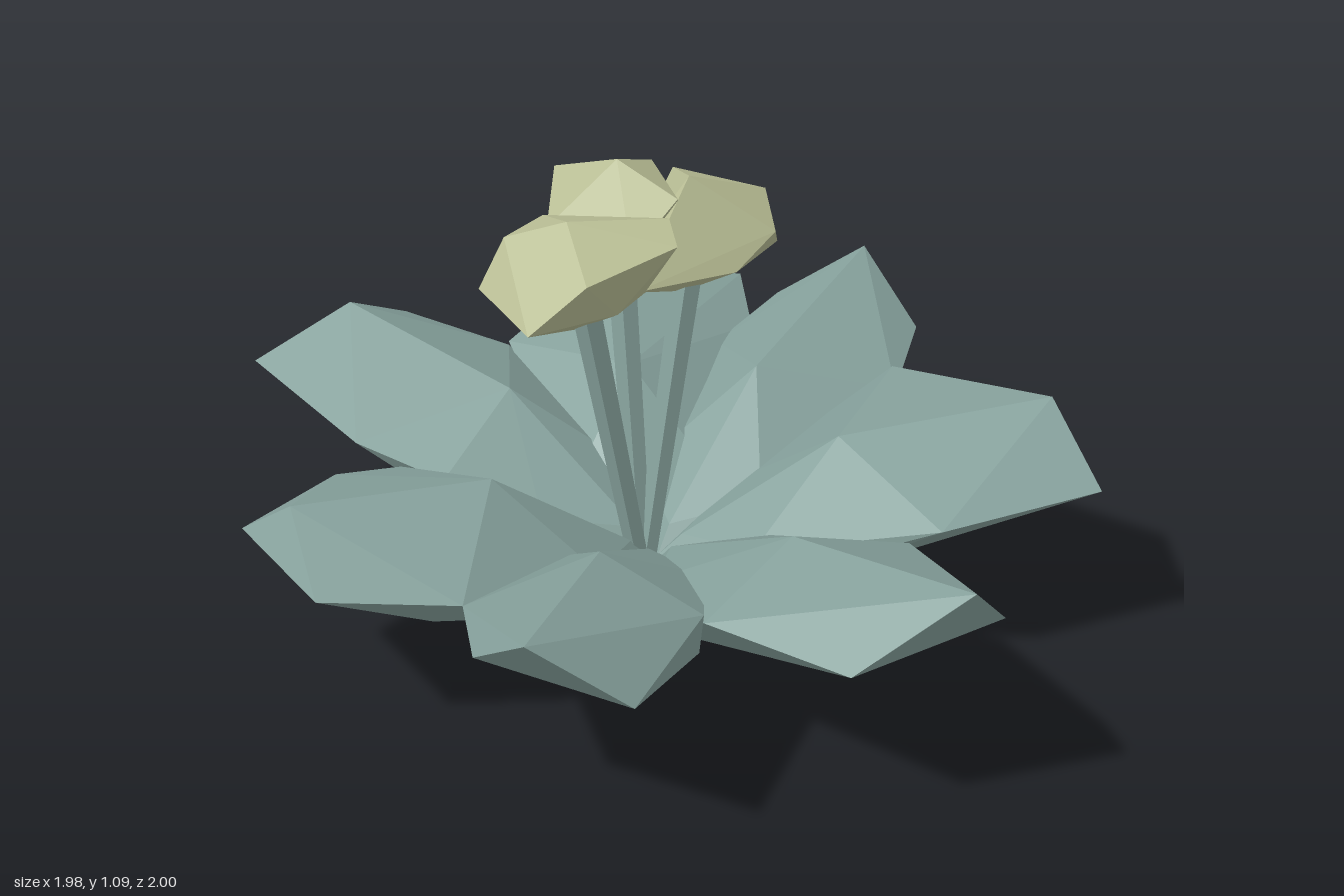
import * as THREE from 'three';
import { ConvexGeometry } from 'three/addons/geometries/ConvexGeometry.js';

const V = (p) => new THREE.Vector3(...p);

export function createModel() {
  const model = new THREE.Group();
  const leafGreen = new THREE.MeshStandardMaterial({ color: 0x86a19c, flatShading: true });
  leafGreen.name = 'leafGreen';
  const bloomYellow = new THREE.MeshStandardMaterial({ color: 0xb9be95, flatShading: true });
  bloomYellow.name = 'bloomYellow';

  const add = (name, geometry, material) => {
    const mesh = new THREE.Mesh(geometry, material);
    mesh.name = name;
    model.add(mesh);
    return mesh;
  };

  // Thick faceted leaves: rim corners, the high ridge end and the keel underneath
  const leaves = {
    frontLeaf: {
      ridge: [-0.17, 0.575, 1.0], keel: [0, 0.165, 0.51],
      rim: [[0.04, 0.41, 0.95], [-0.3, 0.42, 0.81], [-0.36, 0.37, 0.54], [0.15, 0.4, 0.58], [0.14, 0.3, 0.57]],
    },
    frontLeftLeaf: {
      ridge: [0.7, 0.61, 0.79], keel: [0.42, 0.19, 0.4],
      rim: [[0.46, 0.42, 0.82], [0.77, 0.42, 0.57], [0.57, 0.38, 0.22], [0.15, 0.38, 0.58]],
    },
    leftLeaf: {
      ridge: [0.88, 0.54, -0.18], keel: [0.48, 0.175, -0.03], base: [-0.18, 0, 0.02],
      rim: [[0.99, 0.42, 0.03], [0.52, 0.44, -0.49], [0.52, 0.35, -0.46], [0.64, 0.41, 0.22]],
    },
    backLeftLeaf: {
      ridge: [0.44, 0.565, -0.885], keel: [0.3, 0.19, -0.48],
      rim: [[0.23, 0.44, -0.86], [0.575, 0.42, -0.74], [0.53, 0.38, -0.49], [0.09, 0.38, -0.7]],
    },
    backLeaf: {
      ridge: [-0.2, 0.51, -0.86], keel: [-0.06, 0.19, -0.48],
      rim: [[0.13, 0.42, -1.0], [0.17, 0.38, -0.8], [-0.41, 0.4, -0.62], [0.15, 0.34, -0.55]],
    },
    backRightLeaf: {
      ridge: [-0.78, 0.53, -0.54], keel: [-0.48, 0.17, -0.26],
      rim: [[-0.99, 0.43, -0.41], [-0.67, 0.44, -0.68], [-0.41, 0.39, -0.62], [-0.7, 0.38, -0.12], [-0.48, 0.36, 0]],
    },
    frontRightLeaf: {
      ridge: [-0.75, 0.5, 0.38], keel: [-0.47, 0.155, 0.27],
      rim: [[-0.87, 0.41, 0.33], [-0.66, 0.4, 0.6], [-0.71, 0.41, 0.08], [-0.58, 0.38, -0.02], [-0.36, 0.37, 0.54]],
    },
  };
  for (const [name, { ridge, keel, rim, base }] of Object.entries(leaves)) {
    const length = Math.hypot(ridge[0], ridge[2]);
    const [dx, dz] = [ridge[0] / length, ridge[2] / length];
    // point at a distance along the leaf, offset sideways
    const at = (along, y, side = 0) => [dx * along - dz * side, y, dz * along + dx * side];
    const inner = [
      base ?? at(-0.1, 0.06),
      at(0.06, 0.24),
      at(0.2, 0.28, 0.16), at(0.2, 0.28, -0.16),
      at(0.27, 0.18, 0.16), at(0.27, 0.18, -0.16),
      at(0.46 * length, 0.47),
    ];
    add(name, new ConvexGeometry([...inner, ridge, keel, ...rim].map(V)), leafGreen);
  }

  // Slim stems spreading from the heart of the rosette
  const foot = V([-0.03, 0.12, -0.01]);
  const stems = {
    frontStem: [-0.14, 0.85, 0.09],
    backStem: [-0.09, 0.88, -0.15],
    leftStem: [0.06, 0.84, -0.14],
  };
  for (const [name, end] of Object.entries(stems)) {
    const along = V(end).sub(foot);
    const stem = add(name, new THREE.CylinderGeometry(0.034, 0.024, along.length(), 5), leafGreen);
    stem.position.copy(foot).addScaledVector(along, 0.5);
    stem.quaternion.setFromUnitVectors(new THREE.Vector3(0, 1, 0), along.normalize());
  }

  // Faceted flower heads
  const blooms = {
    frontBloom: [
      [-0.37, 0.9, 0.11], [-0.32, 1.0, 0.06], [-0.25, 1.0, -0.06], [0.03, 1.035, 0.01], [0.055, 1.01, 0.1],
      [-0.12, 0.99, 0.27], [-0.24, 0.89, 0.31], [-0.18, 1.06, 0.1], [-0.17, 0.79, 0.07], [-0.07, 0.86, 0.13],
      [-0.02, 0.87, 0.04],
    ],
    backBloom: [
      [-0.1, 1.085, -0.18], [-0.25, 1.02, -0.28], [-0.17, 0.9, -0.385], [-0.04, 1.0, -0.375], [0.03, 0.92, -0.28],
      [0.04, 1.03, -0.1], [-0.24, 0.98, -0.04], [-0.08, 0.83, -0.17], [-0.05, 0.95, 0.02], [-0.25, 0.9, -0.2],
    ],
    leftBloom: [
      [0.06, 1.06, -0.16], [0.01, 1.0, -0.34], [0.22, 0.97, -0.31], [0.25, 0.85, -0.29], [0.25, 0.92, -0.19],
      [0.17, 0.86, -0.1], [-0.04, 0.87, 0.04], [0.05, 0.785, -0.15], [-0.02, 0.88, -0.33], [-0.08, 0.87, -0.08],
    ],
  };
  for (const [name, points] of Object.entries(blooms)) {
    add(name, new ConvexGeometry(points.map(V)), bloomYellow);
  }

  return model;
}
